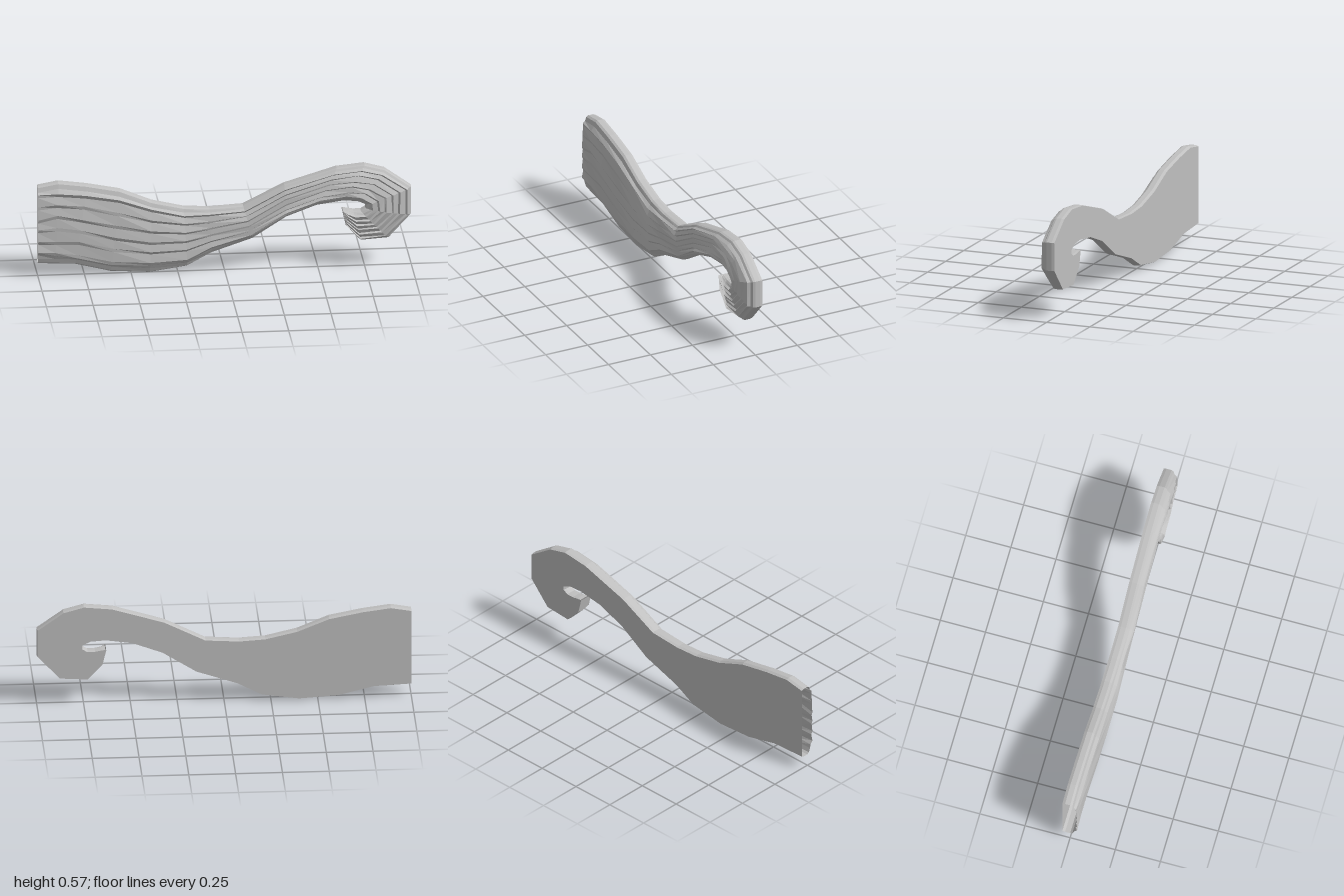
import * as THREE from 'three';

export function createModel() {
  const group = new THREE.Group();
  const grey = new THREE.MeshStandardMaterial({ color: 0xc0c0c0, flatShading: true, side: THREE.DoubleSide });
  grey.name = 'plain grey';

  // Stations along the lock: outer edge x, y, then inner edge x, y
  const stations = [
    [-1, 0.505, -1, 0.07], [-0.89, 0.525, -0.91, 0.065], [-0.74, 0.505, -0.8, 0.06],
    [-0.56, 0.47, -0.61, 0.013], [-0.39, 0.4, -0.4, 0], [-0.22, 0.36, -0.2, 0.03],
    [-0.08, 0.35, -0.07, 0.1], [0.1, 0.36, 0.15, 0.175], [0.32, 0.47, 0.33, 0.29],
    [0.6, 0.555, 0.49, 0.35], [0.75, 0.57, 0.63, 0.37], [0.86, 0.54, 0.71, 0.365],
    [1, 0.44, 0.755, 0.345], [1, 0.285, 0.755, 0.325], [0.88, 0.155, 0.73, 0.31],
    [0.73, 0.145, 0.69, 0.31], [0.65, 0.23, 0.66, 0.315], [0.63, 0.315, 0.635, 0.317],
  ];

  // Repeatable wobble in -1..1 for uneven strands
  const wobble = (i, j) => {
    const s = Math.sin(i * 12.99 + j * 78.23) * 43758.5;
    return (s - Math.floor(s)) * 2 - 1;
  };

  // Cross-section: rounded rim at both edges, stepped strands between; [u across, z]
  const section = (i) => {
    const rim = [[0.015, -0.043], [0, -0.028], [0, 0], [0.018, 0.012], [0.07, 0.02]];
    const strands = [];
    const count = 6;
    for (let k = 0; k < count; k++) {
      const u = 0.13 + (0.74 * k) / (count - 1);
      const bulge = 0.029 + 0.007 * Math.sin(Math.PI * u);
      const shift = 0.018 * wobble(i, k);
      const step = 0.004 + 0.004 * wobble(i + 31, k);
      strands.push([u + shift - 0.02, bulge + step], [u + shift + 0.02, bulge - step]);
    }
    const lower = rim.map(([u, z]) => [1 - u, z]).reverse();
    return [...rim, ...strands, ...lower];
  };

  // Stepped front and rounded sides
  const rings = stations.map(([ax, ay, bx, by], i) => section(i).map(([u, z]) =>
    new THREE.Vector3(ax + (bx - ax) * u, ay + (by - ay) * u, z)));

  const strip = (name, first, last, closing) => {
    const pos = [];
    for (let i = 0; i < rings.length - 1; i++) {
      for (let j = first; j < last; j++) {
        const k = closing ? 0 : j + 1;
        const a = rings[i][j], b = rings[i][k], c = rings[i + 1][k], d = rings[i + 1][j];
        for (const p of [a, b, c, a, c, d]) pos.push(p.x, p.y, p.z);
      }
    }
    const geo = new THREE.BufferGeometry();
    geo.setAttribute('position', new THREE.Float32BufferAttribute(pos, 3));
    geo.computeVertexNormals();
    const mesh = new THREE.Mesh(geo, grey);
    mesh.name = name;
    group.add(mesh);
  };

  const end = rings[0].length - 1;
  strip('upperRim', 0, 4, false);
  strip('strandFront', 4, end - 4, false);
  strip('lowerRim', end - 4, end, false);
  // Flat back, joining the two rims
  strip('flatBack', end, end + 1, true);

  group.name = 'curledLock';
  return group;
}
